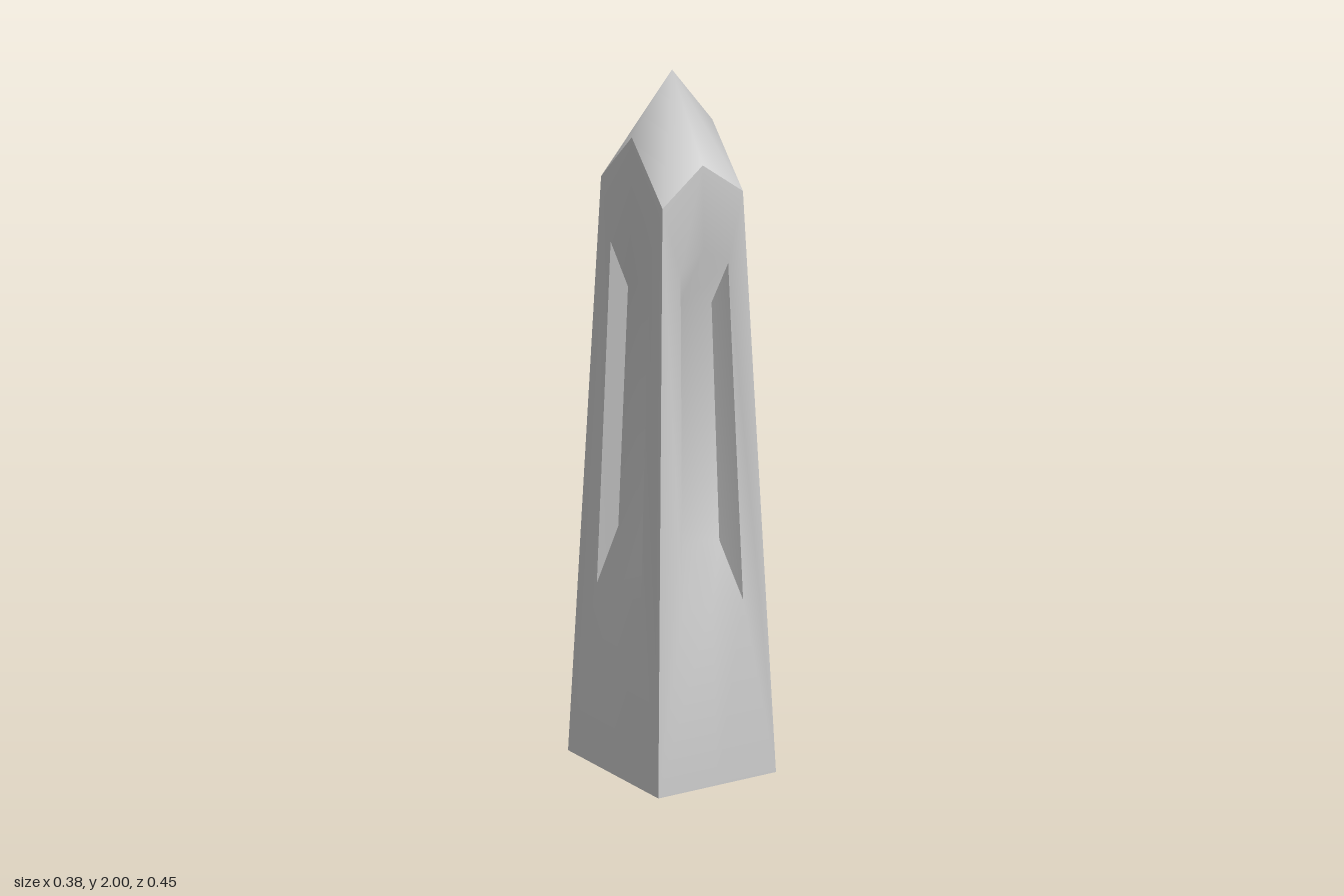
import * as THREE from 'three';
import { toCreasedNormals } from 'three/addons/utils/BufferGeometryUtils.js';

const SHOULDER = 1.67; // height of the four upper corners
const APEX = 2;

// Half sizes at the base and shoulder, gable peak and recess outlines.
// Recess rows are [half width, edge height, centre height].
const FRONT = {
  half: [0.19, 0.13], out: [0.225, 0.153], peak: 1.77, depth: 0.056,
  rim: [[0.098, 0.51, 0.525], [0.077, 1.475, 1.53]],
  floor: [[0.062, 0.67, 0.68], [0.056, 1.35, 1.385]],
};
const SIDE = {
  half: [0.225, 0.153], out: [0.19, 0.13], peak: 1.83, depth: 0.044,
  rim: [[0.11, 0.515, 0.54], [0.096, 1.5, 1.585]],
  floor: [[0.08, 0.68, 0.69], [0.07, 1.37, 1.41]],
};

function buildGeometry(points, index) {
  const g = new THREE.BufferGeometry();
  g.setAttribute('position', new THREE.Float32BufferAttribute(points.flat(), 3));
  g.setIndex(index);
  return g;
}

// One tapering wall: gabled outline -> recess rim -> sunken floor
function wallGeometry({ half, out, peak, depth, rim, floor }) {
  const distance = (y) => THREE.MathUtils.lerp(out[0], out[1], Math.min(y / SHOULDER, 1));
  const loop = ([[w0, e0, c0], [w1, e1, c1]], sink) =>
    [[-w0, e0], [0, c0], [w0, e0], [w1, e1], [0, c1], [-w1, e1]]
      .map(([x, y]) => [x, y, distance(y) - sink]);
  const outline = [[half[0], 0, 0], [half[1], SHOULDER, peak]];
  const points = [...loop(outline, 0), ...loop(rim, 0), ...loop(floor, depth)];

  const index = [];
  for (let ring = 0; ring < 2; ring++) {
    for (let i = 0; i < 6; i++) {
      const a = ring * 6 + i, b = ring * 6 + ((i + 1) % 6);
      index.push(a, b, b + 6, a, b + 6, a + 6);
    }
  }
  // Recess floor, split along its centre line
  index.push(12, 13, 16, 12, 16, 17, 13, 14, 15, 13, 15, 16);
  return toCreasedNormals(buildGeometry(points, index), Math.PI / 6);
}

// Smoothly shaded pointed cap sitting on the four gables
function capGeometry() {
  const x = FRONT.half[1], z = SIDE.half[1];
  const points = [
    [0, APEX, 0],
    [0, FRONT.peak, z], [x, SHOULDER, z],
    [x, SIDE.peak, 0], [x, SHOULDER, -z],
    [0, FRONT.peak, -z], [-x, SHOULDER, -z],
    [-x, SIDE.peak, 0], [-x, SHOULDER, z],
  ];
  const index = [];
  for (let i = 0; i < 8; i++) index.push(0, 1 + i, 1 + ((i + 1) % 8));
  const g = buildGeometry(points, index);
  g.computeVertexNormals();
  return g;
}

export function createModel() {
  const model = new THREE.Group();
  model.name = 'obelisk';
  const material = new THREE.MeshStandardMaterial({ color: 0xcccccc });
  const add = (name, geometry) => {
    const mesh = new THREE.Mesh(geometry, material);
    mesh.name = name;
    model.add(mesh);
    return mesh;
  };

  // Four recessed walls
  const front = wallGeometry(FRONT), side = wallGeometry(SIDE);
  ['frontWall', 'leftWall', 'backWall', 'rightWall'].forEach((name, i) => {
    add(name, i % 2 ? side : front).rotation.y = (i * Math.PI) / 2;
  });

  // Pointed top
  add('cap', capGeometry());

  // Underside
  const base = new THREE.PlaneGeometry(FRONT.half[0] * 2, SIDE.half[0] * 2);
  add('underside', base.rotateX(Math.PI / 2));

  return model;
}
